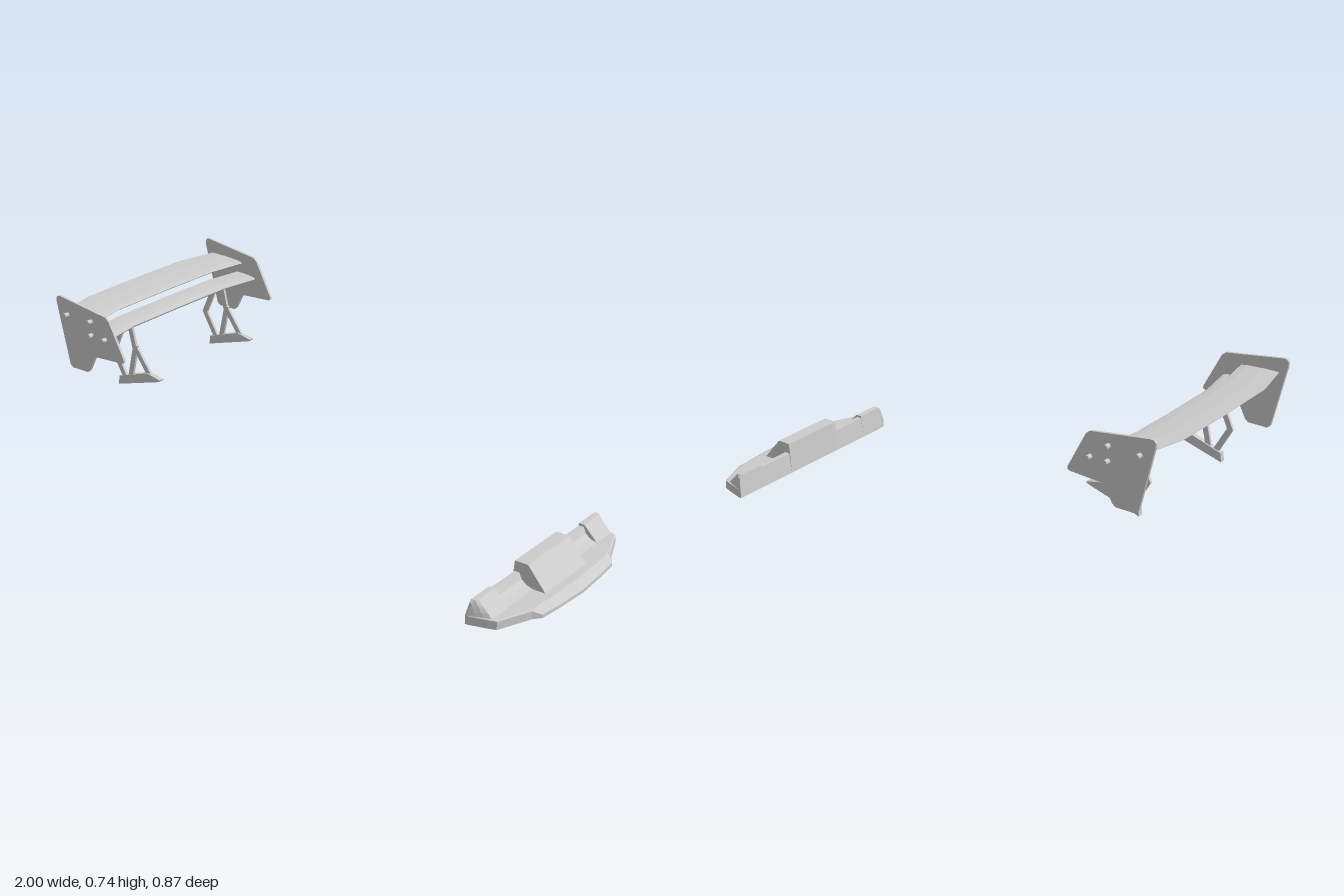
import * as THREE from 'three';

const grey = new THREE.MeshStandardMaterial({ color: 0xcccccc, flatShading: true });
const greyShell = new THREE.MeshStandardMaterial({ color: 0xcccccc, flatShading: true, side: THREE.DoubleSide });

function addMesh(parent, name, geometry, material = grey) {
  const mesh = new THREE.Mesh(geometry, material);
  mesh.name = name;
  parent.add(mesh);
  return mesh;
}

// Skin through cross-sections ordered along +z; each is a clockwise list of [x, y, z]
function loft(rows, closedRing) {
  const pos = [];
  const n = rows[0].length;
  const tri = (a, b, c) => pos.push(...a, ...b, ...c);
  for (let i = 0; i < rows.length - 1; i++) {
    for (let j = 0; j < (closedRing ? n : n - 1); j++) {
      const k = (j + 1) % n;
      const a = rows[i][j], b = rows[i][k], c = rows[i + 1][k], d = rows[i + 1][j];
      tri(a, d, c);
      tri(a, c, b);
    }
  }
  const first = rows[0], last = rows[rows.length - 1];
  for (let k = 1; k < n - 1; k++) {
    tri(first[0], first[k], first[k + 1]);
    tri(last[0], last[k + 1], last[k]);
  }
  const geo = new THREE.BufferGeometry();
  geo.setAttribute('position', new THREE.Float32BufferAttribute(pos, 3));
  geo.computeVertexNormals();
  return geo;
}

// Flat plate in the xy plane, centred on z
function plate(points, thickness, z) {
  const shape = new THREE.Shape(points.map(([x, y]) => new THREE.Vector2(x, y)));
  const geo = new THREE.ExtrudeGeometry(shape, { depth: thickness, bevelEnabled: false });
  return geo.translate(0, 0, z - thickness / 2);
}

// Square bar between two points of the xy plane
function bar([x0, y0], [x1, y1], width, depth, z) {
  const geo = new THREE.BoxGeometry(Math.hypot(x1 - x0, y1 - y0), width, depth);
  geo.rotateZ(Math.atan2(y1 - y0, x1 - x0));
  return geo.translate((x0 + x1) / 2, (y0 + y1) / 2, z);
}

// Swept wing blade: straight middle, tips drawn forward
function wing(back, front, y, backSweep, frontSweep) {
  const foil = [[0, 0.011], [0.4, 0.010], [0.8, 0.006], [0.97, 0.002], [1, -0.003],
    [0.95, -0.009], [0.7, -0.011], [0.35, -0.003], [0, 0.009]];
  const stations = [[-0.41, 1], [-0.25, 0.1], [0, 0], [0.25, 0.1], [0.41, 1]];
  return loft(stations.map(([z, s]) => foil.map(([t, h]) => [
    THREE.MathUtils.lerp(back + backSweep * s, front + frontSweep * s, t), y + h, z,
  ])), true);
}

function buildRearWing() {
  const group = new THREE.Group();
  group.name = 'rearWing';
  addMesh(group, 'upperBlade', wing(-1, -0.84, 0.674, 0.04, 0.03), greyShell);
  addMesh(group, 'lowerBlade', wing(-0.865, -0.775, 0.622, 0.03, 0.03), greyShell);

  const outline = [[-0.93, 0.472], [-0.856, 0.472], [-0.843, 0.483], [-0.815, 0.536], [-0.805, 0.541],
    [-0.68, 0.547], [-0.671, 0.552], [-0.673, 0.563], [-0.738, 0.692], [-0.752, 0.705],
    [-0.975, 0.738], [-0.988, 0.737], [-0.995, 0.728], [-0.994, 0.713], [-0.942, 0.482]];
  const bolts = [[-0.941, 0.675], [-0.824, 0.675], [-0.824, 0.622], [-0.757, 0.62]];

  for (const side of [-1, 1]) {
    // End plate with its bolts
    addMesh(group, 'endPlate', plate(outline, 0.01, side * 0.41));
    for (const [x, y] of bolts) {
      const bolt = new THREE.CylinderGeometry(0.0085, 0.0085, 0.03, 12).rotateX(Math.PI / 2);
      addMesh(group, 'bolt', bolt.translate(x, y, side * 0.42));
    }

    // Support bracket: legs on a tilted foot
    const support = new THREE.Group();
    support.name = 'support';
    group.add(support);
    const z = side * 0.255;
    addMesh(support, 'foot', plate([[-0.85, 0.377], [-0.65, 0.434], [-0.643, 0.441],
      [-0.705, 0.455], [-0.845, 0.411]], 0.02, z));
    const legs = [
      [[-0.70, 0.448], [-0.772, 0.55]],
      [[-0.795, 0.415], [-0.762, 0.55]],
      [[-0.768, 0.54], [-0.785, 0.618]],
      [[-0.818, 0.405], [-0.875, 0.508]],
      [[-0.876, 0.5], [-0.82, 0.618]],
    ];
    for (const [a, b] of legs) addMesh(support, 'leg', bar(a, b, 0.02, 0.01, z));
  }
  return group;
}

function buildFrontSplitter() {
  // Half stations: z, wall height, wall front, ramp foot, ramp hollow, shoulder, edge, edge height
  const half = [
    [0, 0.117, 0.862, 0.932, 0, 0.965, 1.0, 0.012],
    [0.132, 0.117, 0.862, 0.932, 0, 0.96, 0.992, 0.012],
    [0.1321, 0.078, 0.83, 0.885, 0.01, 0.96, 0.992, 0.012],
    [0.225, 0.078, 0.83, 0.885, 0.01, 0.955, 0.982, 0.012],
    [0.255, 0.078, 0.83, 0.885, 0.01, 0.945, 0.958, 0.03],
    [0.285, 0.078, 0.83, 0.885, 0.01, 0.938, 0.946, 0.03],
    [0.2851, 0.087, 0.832, 0.885, 0, 0.938, 0.946, 0.03],
    [0.382, 0.087, 0.832, 0.885, 0, 0.9, 0.905, 0.03],
    [0.392, 0.087, 0.828, 0.86, 0, 0.873, 0.876, 0.03],
    [0.402, 0.076, 0.818, 0.832, 0, 0.836, 0.84, 0.03],
    [0.41, 0.035, 0.806, 0.808, 0, 0.81, 0.812, 0.03],
  ];
  const section = (z, [, h, top, foot, hollow, shoulder, edge, edgeY]) => {
    const ramp = (t) => [THREE.MathUtils.lerp(top, foot, t) - hollow,
      THREE.MathUtils.lerp(h, 0.033, t) - hollow * 0.6, z];
    return [[0.8, 0, z], [0.81 - 0.009 * (h < 0.05), h, z], [top, h, z], ramp(0.35), ramp(0.7),
      [foot, 0.033, z], [shoulder, 0.032, z], [edge, edgeY, z], [edge, 0, z]];
  };
  const rows = [
    ...half.slice(1).reverse().map((s) => section(-s[0], s)),
    ...half.map((s) => section(s[0], s)),
  ];
  const group = new THREE.Group();
  group.name = 'frontSplitter';
  // Hollow shell, open underneath
  addMesh(group, 'splitterShell', loft(rows, false), greyShell);
  return group;
}

export function createModel() {
  const model = new THREE.Group();
  model.name = 'aeroKit';
  model.add(buildRearWing(), buildFrontSplitter());
  return model;
}
